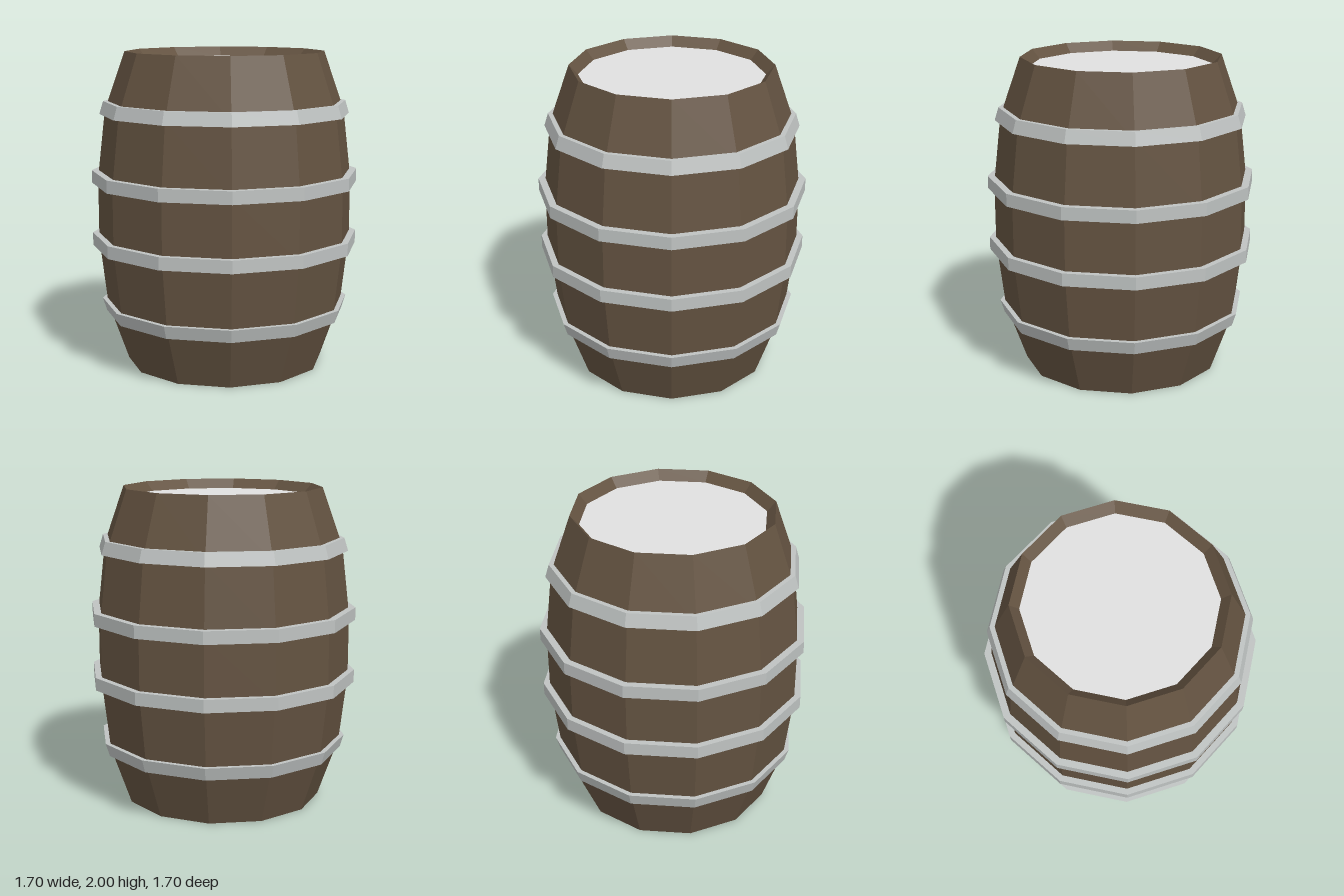
import * as THREE from 'three';

const SIDES = 12;

export function createModel() {
  const make = (name, color) => {
    const m = new THREE.MeshStandardMaterial({ color, flatShading: true });
    m.name = name;
    return m;
  };
  const wood = make('brown wood', 0x645341);
  const metal = make('hoop metal', 0xbfc3c2);
  const pale = make('pale head', 0xe0e0e0);

  const model = new THREE.Group();
  model.name = 'barrel';

  const add = (name, geometry, material) => {
    const mesh = new THREE.Mesh(geometry, material);
    mesh.name = name;
    model.add(mesh);
    return mesh;
  };
  // Twelve-sided ring or shell from [radius, height] points, bottom to top
  const lathe = (points) =>
    new THREE.LatheGeometry(points.map(([r, y]) => new THREE.Vector2(r, y)), SIDES);

  // Bulging staves, with sloped chimes turning inward at both ends
  add('staves', lathe([
    [0.575, 0.06], [0.63, 0], [0.76, 0.37], [0.81, 0.8],
    [0.81, 1.2], [0.76, 1.63], [0.63, 2], [0.575, 1.94],
  ]), wood);

  // Recessed heads
  for (const [name, y, turn] of [['topHead', 1.94, -1], ['bottomHead', 0.06, 1]]) {
    const head = add(name, new THREE.CircleGeometry(0.575, SIDES), pale);
    head.rotation.x = turn * Math.PI / 2;
    head.position.y = y;
  }

  // Hoops: bottom height, top height, outer radius at bottom and at top
  const hoops = [
    ['lowerEndHoop', 0.325, 0.407, 0.77, 0.795],
    ['lowerMiddleHoop', 0.762, 0.842, 0.85, 0.85],
    ['upperMiddleHoop', 1.167, 1.247, 0.85, 0.85],
    ['upperEndHoop', 1.606, 1.687, 0.795, 0.77],
  ];
  for (const [name, y0, y1, r0, r1] of hoops) {
    add(name, lathe([[r0 - 0.06, y0], [r0, y0], [r1, y1], [r1 - 0.06, y1]]), metal);
  }

  return model;
}
